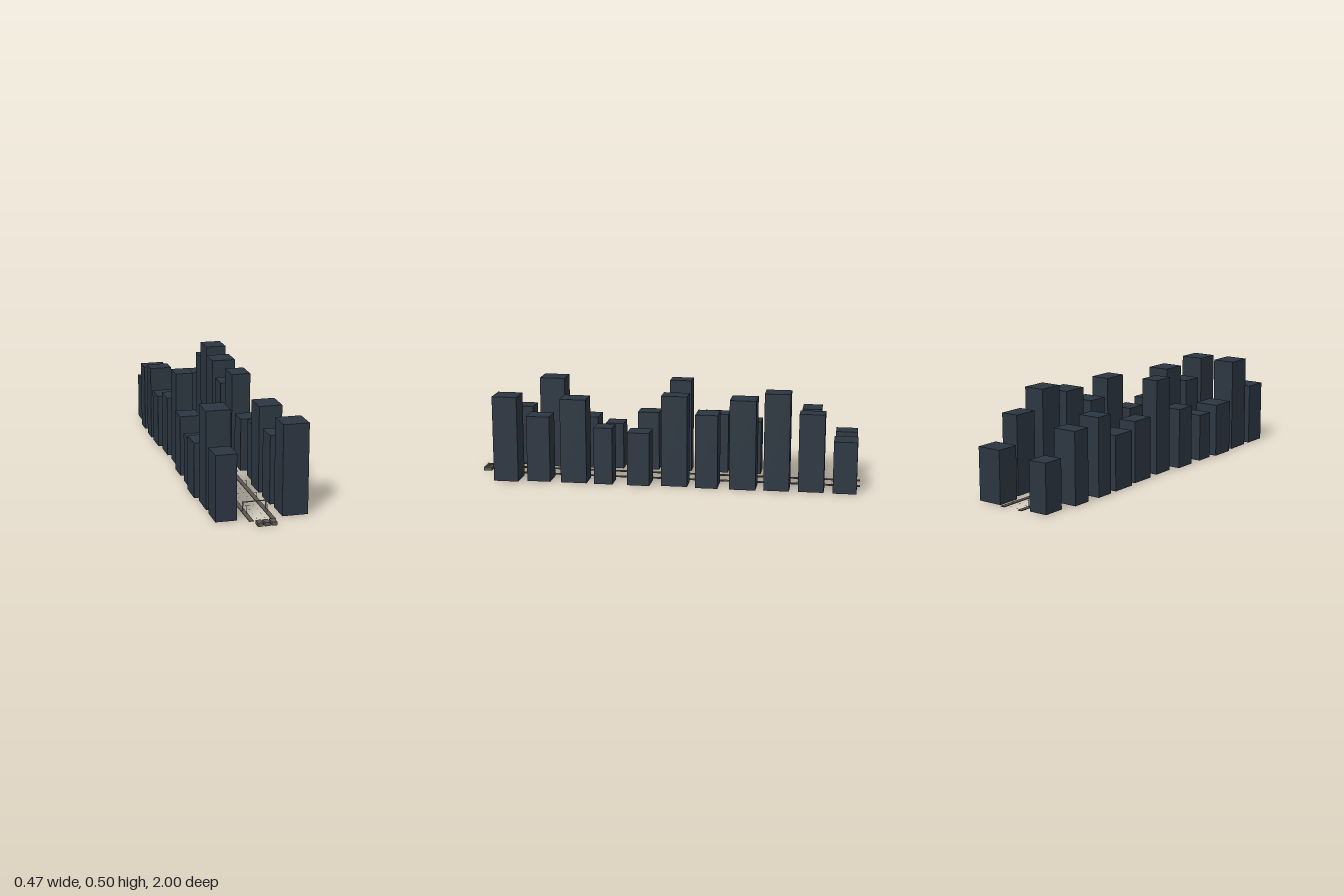
import * as THREE from 'three';

const mat = (name, color) => {
  const m = new THREE.MeshStandardMaterial({ color });
  m.name = name;
  return m;
};

export function createModel() {
  const city = new THREE.Group();
  city.name = 'cityStreet';
  const slate = mat('slateBlue', 0x2c3641);
  const kerb = mat('warmGrey', 0x5c5853);
  const steel = mat('steelGrey', 0x85857f);
  const paint = mat('paleMarking', 0xc8ccd0);

  // Box given by its extents along each axis
  const box = (name, material, [x0, x1], [y0, y1], [z0, z1], parent = city) => {
    const mesh = new THREE.Mesh(new THREE.BoxGeometry(x1 - x0, y1 - y0, z1 - z0), material);
    mesh.position.set((x0 + x1) / 2, (y0 + y1) / 2, (z0 + z1) / 2);
    mesh.name = name;
    parent.add(mesh);
    return mesh;
  };

  // Towers from back to front: x0, x1, z0, z1, height
  const leftTowers = [
    [0.08, 0.21, -0.985, -0.865, 0.27], [0.112, 0.205, -0.82, -0.69, 0.405],
    [0.097, 0.208, -0.645, -0.515, 0.504], [0.087, 0.215, -0.475, -0.34, 0.466],
    [0.087, 0.213, -0.28, -0.165, 0.385], [0.1, 0.2, -0.122, 0.012, 0.474],
    [0.1, 0.213, 0.072, 0.187, 0.28], [0.112, 0.213, 0.265, 0.362, 0.3],
    [0.093, 0.21, 0.402, 0.538, 0.443], [0.095, 0.21, 0.595, 0.717, 0.347],
    [0.105, 0.232, 0.76, 0.89, 0.45],
  ];
  const rightTowers = [
    [-0.2, -0.1, -0.98, -0.867, 0.25], [-0.22, -0.094, -0.79, -0.69, 0.366],
    [-0.222, -0.105, -0.613, -0.515, 0.4], [-0.22, -0.105, -0.475, -0.34, 0.285],
    [-0.207, -0.111, -0.3, -0.167, 0.32], [-0.2, -0.11, -0.103, 0.012, 0.495],
    [-0.22, -0.115, 0.072, 0.187, 0.316], [-0.22, -0.112, 0.265, 0.362, 0.25],
    [-0.234, -0.106, 0.402, 0.538, 0.282], [-0.22, -0.1, 0.582, 0.717, 0.49],
    [-0.22, -0.116, 0.762, 0.89, 0.327],
  ];
  for (const [side, rows] of [['left', leftTowers], ['right', rightTowers]])
    for (const [x0, x1, z0, z1, h] of rows)
      box(side + 'Tower', slate, [x0, x1], [0.002, h], [z0, z1]);

  // Pavement strips and dashed lane lines
  for (const s of [-1, 1]) {
    box('pavement', kerb, [s * 0.054 - 0.011, s * 0.054 + 0.011], [0.001, 0.005], [-1, 0.92]);
    for (let z = -0.98; z < 0.91; z += 0.06)
      box('laneDash', paint, [s * 0.02 - 0.0015, s * 0.02 + 0.0015], [0.002, 0.003], [z, z + 0.008]);
  }

  // Street lamps: slim post with a short arm over the road
  for (let i = 0; i < 11; i++) {
    const z = -0.93 + i * 0.1755;
    for (const s of [-1, 1]) {
      const lamp = new THREE.Group();
      lamp.name = 'streetLamp';
      city.add(lamp);
      box('lampPost', steel, [s * 0.05 - 0.0008, s * 0.05 + 0.0008], [0.005, 0.046], [z - 0.0008, z + 0.0008], lamp);
      box('lampArm', steel, [s * 0.044 - 0.006, s * 0.044 + 0.006], [0.045, 0.0465], [z - 0.001, z + 0.001], lamp);
    }
  }

  // Gantries spanning the road
  for (const z of [-0.62, 0.78]) {
    const gantry = new THREE.Group();
    gantry.name = 'gantry';
    city.add(gantry);
    const depth = [z - 0.0025, z + 0.0025];
    for (const s of [-1, 1])
      box('gantryPost', steel, [s * 0.0575 - 0.0025, s * 0.0575 + 0.0025], [0.004, 0.047], depth, gantry);
    box('gantryBeam', steel, [-0.06, 0.06], [0.047, 0.051], depth, gantry);
  }

  // Row of blocks at the street entrance
  for (const x of [-0.033, 0, 0.033])
    box('entranceBlock', kerb, [x - 0.013, x + 0.013], [0.003, 0.021], [0.955, 1]);

  return city;
}
